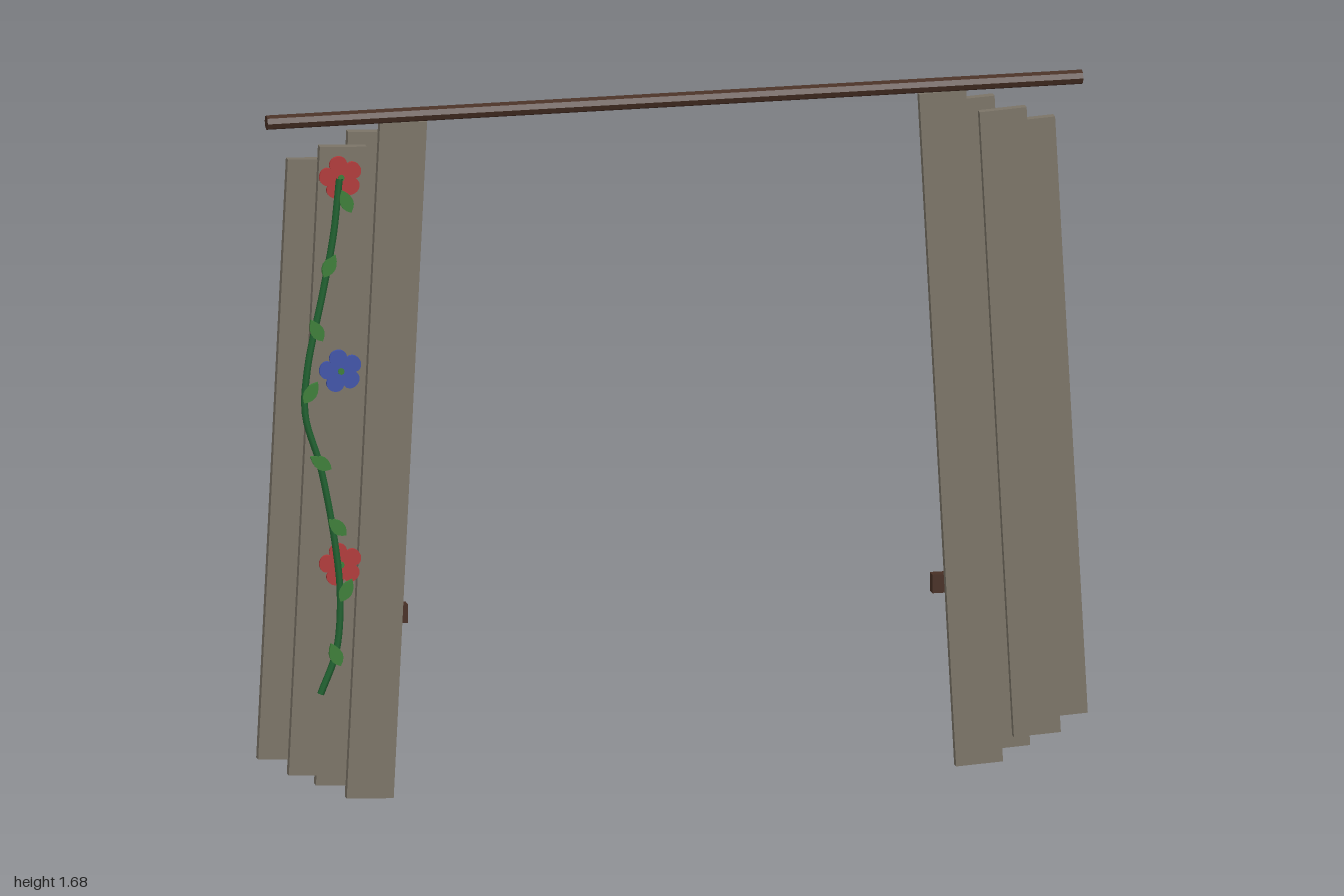
import * as THREE from 'three';

const mat = (name, color, flatShading = false) => {
  const m = new THREE.MeshStandardMaterial({ color, flatShading });
  m.name = name;
  return m;
};

export function createModel() {
  const root = new THREE.Group();
  root.name = 'curtainArch';
  const plankGrey = mat('weathered grey', 0x7b7467);
  const wood = mat('dark brown wood', 0x472f24, true);
  const vineGreen = mat('vine green', 0x1f6230);
  const leafGreen = mat('leaf green', 0x3c7d38);
  const red = mat('petal red', 0xb03a3a);
  const blue = mat('petal blue', 0x4053a8);

  const add = (parent, name, geometry, material, x = 0, y = 0, z = 0) => {
    const m = new THREE.Mesh(geometry, material);
    m.name = name;
    m.position.set(x, y, z);
    parent.add(m);
    return m;
  };

  // Rod across the top
  add(root, 'topRod', new THREE.CylinderGeometry(0.0175, 0.0175, 1.96, 8), wood, 0, 1.666, -0.005)
    .rotation.z = Math.PI / 2;

  // Leaning, overlapping planks, alternately in front and behind
  for (const side of [-1, 1]) {
    const panel = new THREE.Group();
    panel.name = side < 0 ? 'rightPanel' : 'leftPanel';
    const lean = side < 0 ? 0.049 : 0.054;
    [1.64, 1.585, 1.525, 1.455].forEach((length, i) => {
      const plank = add(panel, 'plank', new THREE.BoxGeometry(0.113, length, 0.022), plankGrey,
        side * (0.69 + 0.071 * i), 0.829 + 0.003 * i, i % 2 ? -0.036 : -0.016);
      plank.rotation.z = side * lean;
    });
    add(panel, 'crossBar', new THREE.BoxGeometry(0.31, 0.045, 0.027), wood, side * 0.785, 0.442, -0.061);
    root.add(panel);
  }

  // Climbing vine
  const vine = new THREE.Group();
  vine.name = 'floweringVine';
  root.add(vine);
  const path = new THREE.CatmullRomCurve3([
    [-0.865, 0.29], [-0.828, 0.39], [-0.818, 0.52], [-0.83, 0.65], [-0.865, 0.84],
    [-0.902, 0.97], [-0.897, 1.08], [-0.86, 1.265], [-0.835, 1.4], [-0.82, 1.54],
  ].map(([x, y]) => new THREE.Vector3(x, y, 0.067)));
  add(vine, 'stem', new THREE.TubeGeometry(path, 60, 0.0085, 6), vineGreen).scale.z = 1;

  // Leaves: pointed, slightly thick blades [x, y, tilt]
  const leafShape = new THREE.Shape();
  leafShape.moveTo(0, -0.03);
  leafShape.quadraticCurveTo(0.032, -0.005, 0, 0.03);
  leafShape.quadraticCurveTo(-0.032, -0.005, 0, -0.03);
  const leafGeo = new THREE.ExtrudeGeometry(leafShape, { depth: 0.008, bevelEnabled: false, curveSegments: 6 });
  [[-0.805, 1.485, 0.4], [-0.845, 1.33, -0.5], [-0.876, 1.175, 0.5], [-0.89, 1.025, -0.6],
    [-0.866, 0.853, 1.0], [-0.826, 0.695, 0.8], [-0.805, 0.54, -0.5], [-0.83, 0.385, 0.4],
  ].forEach(([x, y, tilt]) => {
    add(vine, 'leaf', leafGeo, leafGreen, x, y, 0.068).rotation.z = tilt;
  });

  // Five-petalled flowers just behind the stem
  const flowerShape = new THREE.Shape();
  const n = 60;
  for (let i = 0; i < n; i++) {
    const a = (i / n) * Math.PI * 2;
    const r = 0.032 + 0.02 * Math.sqrt(Math.abs(Math.cos(2.5 * (a - Math.PI / 2 - 0.2))));
    flowerShape[i ? 'lineTo' : 'moveTo'](r * Math.cos(a), r * Math.sin(a));
  }
  const flowerGeo = new THREE.ExtrudeGeometry(flowerShape, { depth: 0.008, bevelEnabled: false });
  [[1.54, red], [1.07, blue], [0.6, red]].forEach(([y, colour]) => {
    add(vine, 'flower', flowerGeo, colour, -0.815, y, 0.055);
    add(vine, 'flowerCentre', new THREE.CylinderGeometry(0.008, 0.008, 0.004, 8), leafGreen, -0.815, y, 0.064)
      .rotation.x = Math.PI / 2;
  });

  return root;
}
